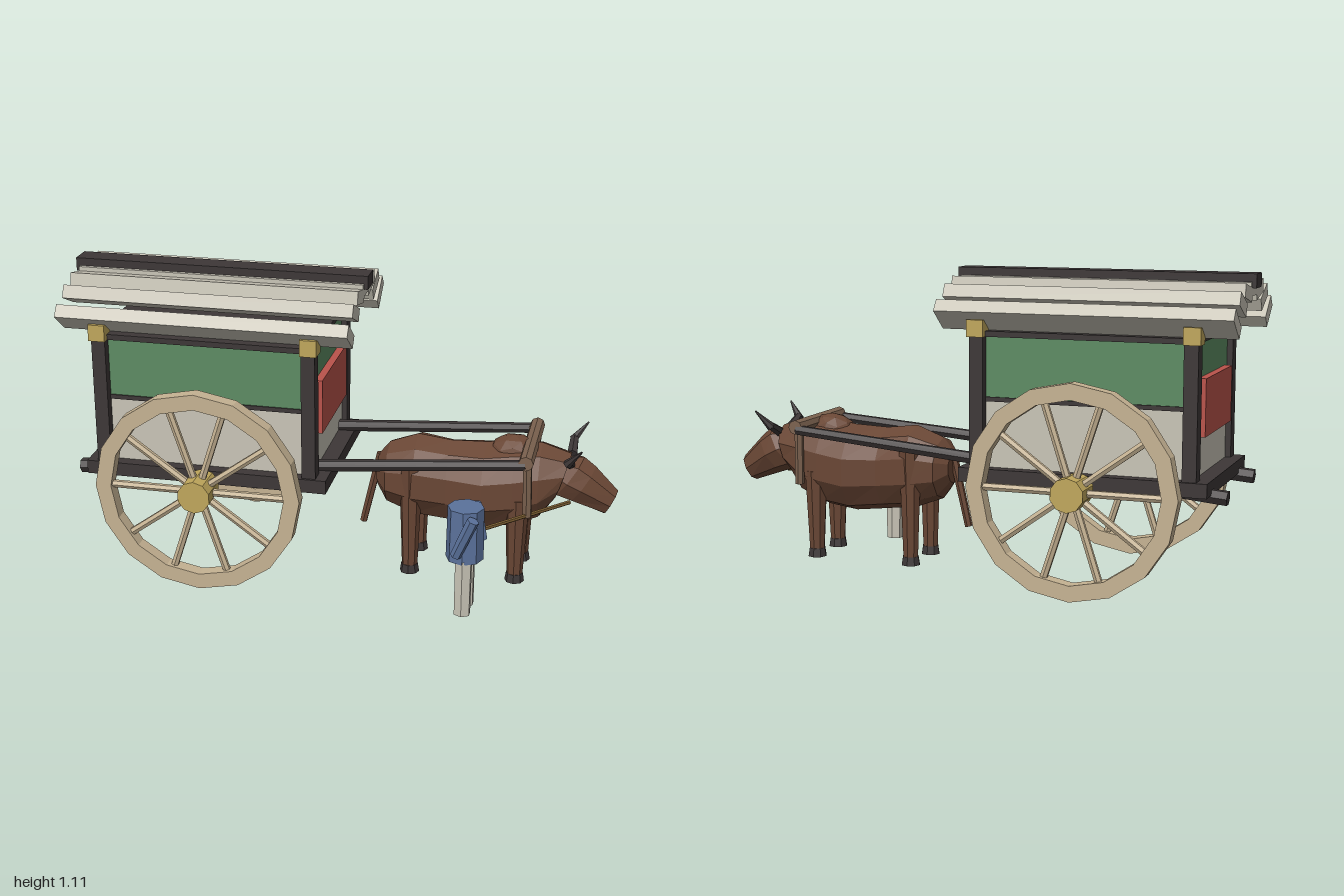
import * as THREE from 'three';

const mat = (name, color) => new THREE.MeshStandardMaterial({ name, color, flatShading: true });

export function createModel() {
  const M = {
    dark: mat('dark timber', 0x3d3737), wood: mat('pale wheel wood', 0xc6b393),
    brass: mat('brass', 0xc0a75c), cream: mat('cream boards', 0xc9c5b7),
    green: mat('green paint', 0x5d8c63), red: mat('red paint', 0xba534b),
    hide: mat('brown hide', 0x6a4735), yoke: mat('yoke wood', 0x7d6350),
    blue: mat('blue cloth', 0x5b729c), goad: mat('goad wood', 0x75592f),
  };
  const model = new THREE.Group();
  model.name = 'oxCart';
  const group = (name) => {
    const g = new THREE.Group();
    g.name = name;
    model.add(g);
    return g;
  };
  const mesh = (parent, name, geo, m) => {
    const o = new THREE.Mesh(geo, m);
    o.name = name;
    parent.add(o);
    return o;
  };
  const box = (parent, name, m, w, h, d, x, y, z) => {
    const o = mesh(parent, name, new THREE.BoxGeometry(w, h, d), m);
    o.position.set(x, y, z);
    return o;
  };
  // Tapered round bar from p to q
  const rod = (parent, name, m, p, q, r0, r1, sides = 6) => {
    const a = new THREE.Vector3(...p), b = new THREE.Vector3(...q);
    const dir = b.clone().sub(a);
    const o = mesh(parent, name, new THREE.CylinderGeometry(r1, r0, dir.length(), sides), m);
    o.position.copy(a).add(b).multiplyScalar(0.5);
    o.quaternion.setFromUnitVectors(new THREE.Vector3(0, 1, 0), dir.normalize());
    return o;
  };
  // Skin over elliptical rings [x, y, halfHeight, halfWidth, tilt]
  const loft = (rings, sides) => {
    const pos = [], idx = [];
    for (const [x, y, ry, rz, t = 0] of rings)
      for (let j = 0; j < sides; j++) {
        const a = (j / sides) * Math.PI * 2, c = ry * Math.cos(a);
        pos.push(x + Math.sin(t) * c, y + Math.cos(t) * c, rz * Math.sin(a));
      }
    const n = rings.length, last = (n - 1) * sides, c0 = n * sides;
    pos.push(rings[0][0], rings[0][1], 0, rings[n - 1][0], rings[n - 1][1], 0);
    for (let j = 0; j < sides; j++) {
      const k = (j + 1) % sides;
      for (let i = 0; i < last; i += sides)
        idx.push(i + j, i + k, i + sides + j, i + k, i + sides + k, i + sides + j);
      idx.push(c0, k, j, c0 + 1, last + j, last + k);
    }
    const g = new THREE.BufferGeometry();
    g.setAttribute('position', new THREE.Float32BufferAttribute(pos, 3));
    g.setIndex(idx);
    const flat = g.toNonIndexed();
    flat.computeVertexNormals();
    return flat;
  };

  // Cart body
  const CX = -0.456;
  const cart = group('cart');
  cart.position.z = -0.003;
  box(cart, 'deck', M.dark, 0.89, 0.05, 0.6, CX, 0.395, 0);
  box(cart, 'lowerBody', M.cream, 0.77, 0.24, 0.51, CX, 0.54, 0);
  box(cart, 'upperBody', M.green, 0.77, 0.22, 0.51, CX, 0.77, 0);
  box(cart, 'midRail', M.dark, 0.78, 0.016, 0.52, CX, 0.661, 0);
  box(cart, 'topPlate', M.dark, 0.79, 0.02, 0.54, CX, 0.89, 0);
  for (const sx of [-1, 1]) {
    box(cart, 'endPanel', M.red, 0.028, 0.2, 0.398, CX + sx * 0.398, 0.66, 0);
    for (const sz of [-1, 1]) {
      box(cart, 'cornerPost', M.dark, 0.05, 0.47, 0.055, CX + sx * 0.381, 0.65, sz * 0.263);
      box(cart, 'postCap', M.brass, 0.06, 0.06, 0.062, CX + sx * 0.384, 0.91, sz * 0.266);
    }
  }

  // Roof boards, each tipped inward
  const boards = [[0, 1.052], [0.091, 1.043], [0.173, 1.01], [0.261, 0.953]];
  boards.forEach(([z, y], i) => {
    for (const s of i ? [-1, 1] : [1])
      box(cart, 'roofBoard', M.cream, 1.055, 0.048, 0.115, CX, y, s * z).rotation.x = -s * i * 0.218;
  });
  box(cart, 'roofRidge', M.dark, 1.085, 0.049, 0.085, CX, 1.08, 0);

  // Shafts run under the deck and on to the yoke
  for (const s of [-1, 1])
    rod(cart, 'shaft', M.dark, [-0.955, 0.36, s * 0.215], [0.68, 0.495, s * 0.178], 0.027, 0.019);

  // Wheels
  const WY = 0.376;
  rod(cart, 'axle', M.dark, [CX, WY, -0.35], [CX, WY, 0.35], 0.035, 0.035, 8);
  const ringPoints = (r) => Array.from({ length: 16 }, (_, i) => {
    const a = (i / 16) * Math.PI * 2;
    return new THREE.Vector2(r * Math.cos(a), r * Math.sin(a));
  });
  const rimShape = new THREE.Shape(ringPoints(0.375));
  rimShape.holes.push(new THREE.Path(ringPoints(0.318).reverse()));
  const rimGeo = new THREE.ExtrudeGeometry(rimShape, { depth: 0.052, bevelEnabled: false });
  rimGeo.translate(0, 0, -0.026);
  for (const s of [-1, 1]) {
    const wheel = new THREE.Group();
    wheel.name = 'wheel';
    wheel.position.set(CX, WY, s * 0.381);
    cart.add(wheel);
    mesh(wheel, 'rim', rimGeo, M.wood);
    mesh(wheel, 'hub', new THREE.CylinderGeometry(0.06, 0.06, 0.122, 10), M.brass).rotation.x = Math.PI / 2;
    for (let i = 0; i < 10; i++) {
      const a = (i / 10) * Math.PI * 2, c = Math.cos(a), d = Math.sin(a);
      rod(wheel, 'spoke', M.wood, [c * 0.04, d * 0.04, 0], [c * 0.325, d * 0.325, 0], 0.014, 0.014);
    }
  }

  // Ox body, neck and head
  const ox = group('ox');
  mesh(ox, 'body', loft([
    [0.125, 0.36, 0.06, 0.06], [0.165, 0.355, 0.115, 0.115], [0.27, 0.355, 0.155, 0.143],
    [0.39, 0.34, 0.155, 0.128], [0.52, 0.335, 0.165, 0.148], [0.63, 0.35, 0.165, 0.138],
    [0.72, 0.37, 0.145, 0.122], [0.8, 0.395, 0.09, 0.09, 0.3],
  ], 10), M.hide);
  const hump = mesh(ox, 'hump', new THREE.IcosahedronGeometry(1, 1), M.hide);
  hump.scale.set(0.09, 0.065, 0.07);
  hump.position.set(0.62, 0.472, 0);
  mesh(ox, 'head', loft([
    [0.775, 0.41, 0.07, 0.06, 0.6], [0.82, 0.395, 0.093, 0.085, 0.6],
    [0.87, 0.37, 0.082, 0.08, 0.58], [0.975, 0.305, 0.052, 0.042, 0.47],
  ], 8), M.hide);
  rod(ox, 'tail', M.hide, [0.13, 0.42, 0], [0.066, 0.14, 0], 0.016, 0.014);
  for (const s of [-1, 1]) {
    for (const [x, z, top] of [[0.26, 0.096, 0.43], [0.648, 0.09, 0.33]]) {
      rod(ox, 'leg', M.hide, [x, 0.028, s * z], [x, top, s * z], 0.029, 0.044, 8);
      rod(ox, 'hoof', M.dark, [x, 0, s * z], [x, 0.032, s * z], 0.036, 0.031, 8);
    }
    // Horn bends out, then up
    rod(ox, 'hornBase', M.dark, [0.825, 0.46, s * 0.045], [0.825, 0.495, s * 0.12], 0.02, 0.016);
    rod(ox, 'hornTip', M.dark, [0.82, 0.487, s * 0.116], [0.872, 0.55, s * 0.145], 0.017, 0.003);
  }

  // Yoke with neck stakes
  const yoke = group('yoke');
  rod(yoke, 'yokeBeam', M.yoke, [0.682, 0.505, -0.192], [0.682, 0.505, 0.188], 0.027, 0.027, 8);
  for (const s of [-1, 1])
    rod(yoke, 'yokeStake', M.yoke, [0.685, 0.5, s * 0.153], [0.69, 0.285, s * 0.145], 0.017, 0.017);

  // Driver
  const driver = group('driver');
  rod(driver, 'torso', M.blue, [0.498, 0.2, 0.343], [0.498, 0.395, 0.343], 0.067, 0.064, 8);
  rod(driver, 'outerArm', M.blue, [0.535, 0.38, 0.422], [0.475, 0.235, 0.41], 0.022, 0.02);
  rod(driver, 'innerArm', M.blue, [0.52, 0.38, 0.272], [0.548, 0.245, 0.28], 0.022, 0.02);
  for (const s of [-1, 1])
    rod(driver, 'trouserLeg', M.cream, [0.5, 0, 0.343 + s * 0.041], [0.5, 0.21, 0.343 + s * 0.035], 0.031, 0.032);
  rod(driver, 'goad', M.goad, [0.545, 0.28, 0.275], [0.83, 0.303, 0.03], 0.008, 0.008);

  return model;
}
